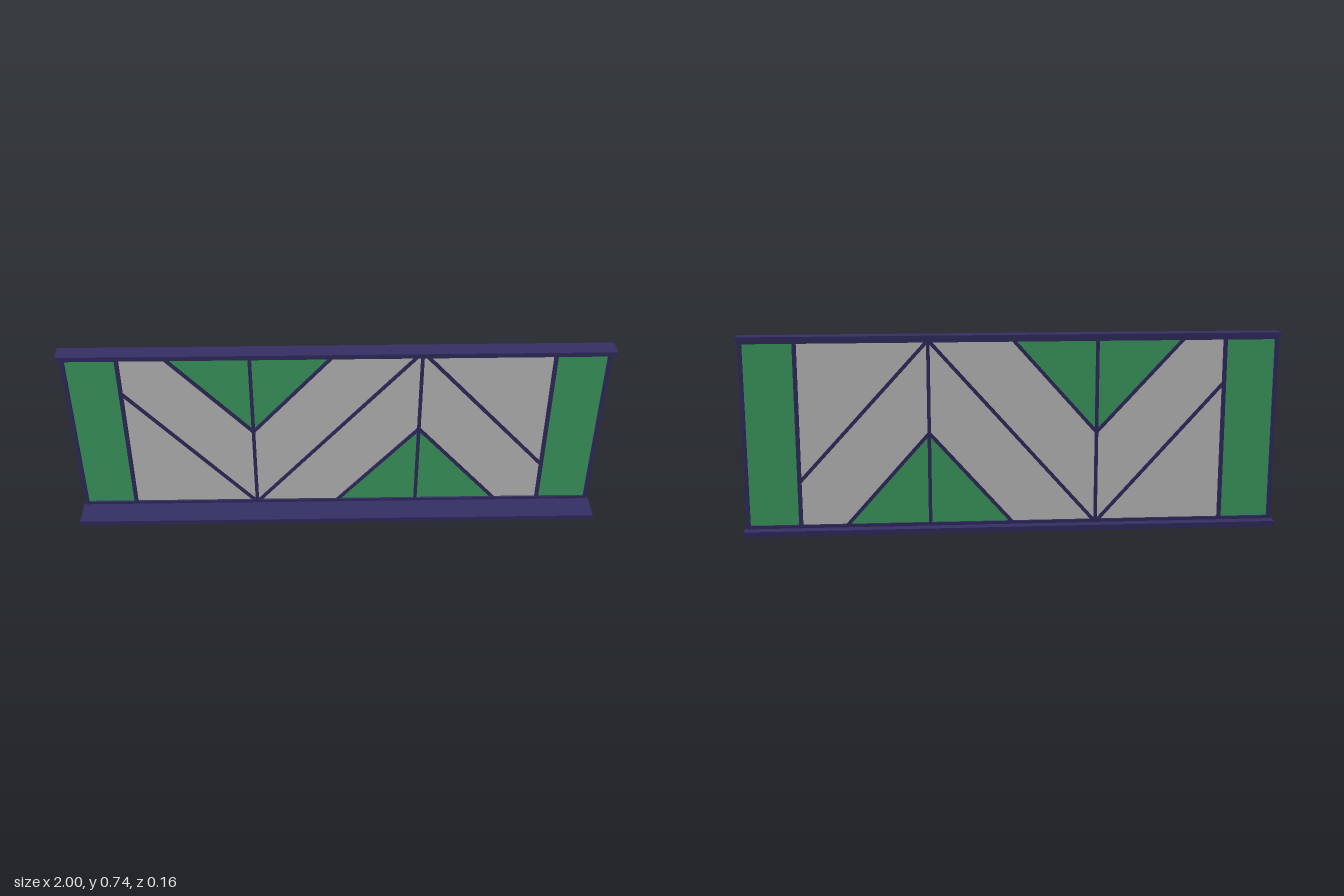
import * as THREE from 'three';

const Z = -0.032;            // plane of the glazed panel
const Y0 = 0.02, Y1 = 0.722; // panel bottom and top
const XL = -0.315, XR = 0.31; // middle bars
const XS = 0.793;            // bars beside the end panes
const XE = 0.987;            // end posts

export function createModel() {
  const group = new THREE.Group();
  const frameMat = new THREE.MeshStandardMaterial({ color: 0x352f66 });
  const greenMat = new THREE.MeshStandardMaterial({ color: 0x42a868 });
  const greyMat = new THREE.MeshStandardMaterial({ color: 0xcccccc });

  function box(name, w, h, d, x, y, z) {
    const mesh = new THREE.Mesh(new THREE.BoxGeometry(w, h, d), frameMat);
    mesh.position.set(x, y, z);
    mesh.name = name;
    group.add(mesh);
    return mesh;
  }

  // straight bar between two points of the panel
  function bar(name, [ax, ay], [bx, by], width, depth) {
    const mesh = box(name, Math.hypot(bx - ax, by - ay), width, depth, (ax + bx) / 2, (ay + by) / 2, Z);
    mesh.rotation.z = Math.atan2(by - ay, bx - ax);
  }

  // thin pane with the given outline
  function pane(name, material, points) {
    const shape = new THREE.Shape(points.map(([x, y]) => new THREE.Vector2(x, y)));
    const geometry = new THREE.ExtrudeGeometry(shape, { depth: 0.006, bevelEnabled: false });
    const mesh = new THREE.Mesh(geometry, material);
    mesh.position.z = Z - 0.003;
    mesh.name = name;
    group.add(mesh);
  }

  // boards
  box('baseBoard', 2, 0.02, 0.16, 0, 0.01, 0);
  box('topBoard', 2, 0.018, 0.064, 0, 0.731, -0.017);

  // panel frame
  box('bottomRail', 2 * XE, 0.012, 0.02, 0, Y0 + 0.006, Z);
  box('topRail', 2 * XE, 0.008, 0.02, 0, Y1 - 0.004, Z);
  for (const s of [-1, 1]) {
    box('endPost', 0.015, Y1 - Y0, 0.02, s * XE, (Y0 + Y1) / 2, Z);
    box('innerPost', 0.015, Y1 - Y0, 0.02, s * XS, (Y0 + Y1) / 2, Z);
  }
  for (const x of [XL, XR]) box('middleBar', 0.013, Y1 - Y0, 0.018, x, (Y0 + Y1) / 2, Z);

  // key corners of the zigzag pattern
  const lowL = [XL, Y0], highR = [XR, Y1];
  const tipL = [XL, 0.37], tipR = [XR, 0.375];
  const sideL = [-XS, 0.553], sideR = [XS, 0.195];
  const topA = [-0.64, Y1], topB = [0, Y1];
  const botA = [-0.005, Y0], botB = [0.627, Y0];

  // diagonal bars
  const diagonals = [
    [sideL, lowL], [lowL, highR], [highR, sideR],
    [topA, tipL], [tipL, topB], [botA, tipR], [tipR, botB],
  ];
  for (const [a, b] of diagonals) bar('diagonalBar', a, b, 0.013, 0.016);

  // green panes
  for (const s of [-1, 1]) {
    pane('endPane', greenMat, [[s * XS, Y0], [s * XE, Y0], [s * XE, Y1], [s * XS, Y1]]);
  }
  pane('upperTriangle', greenMat, [topA, tipL, topB]);
  pane('lowerTriangle', greenMat, [botA, botB, tipR]);

  // grey panes
  pane('leftCornerPane', greyMat, [[-XS, Y0], lowL, sideL]);
  pane('leftChevronPane', greyMat, [sideL, lowL, tipL, topA, [-XS, Y1]]);
  pane('lowerMiddlePane', greyMat, [lowL, botA, tipR, highR]);
  pane('upperMiddlePane', greyMat, [lowL, highR, topB, tipL]);
  pane('rightChevronPane', greyMat, [highR, tipR, botB, [XS, Y0], sideR]);
  pane('rightCornerPane', greyMat, [highR, sideR, [XS, Y1]]);

  return group;
}
